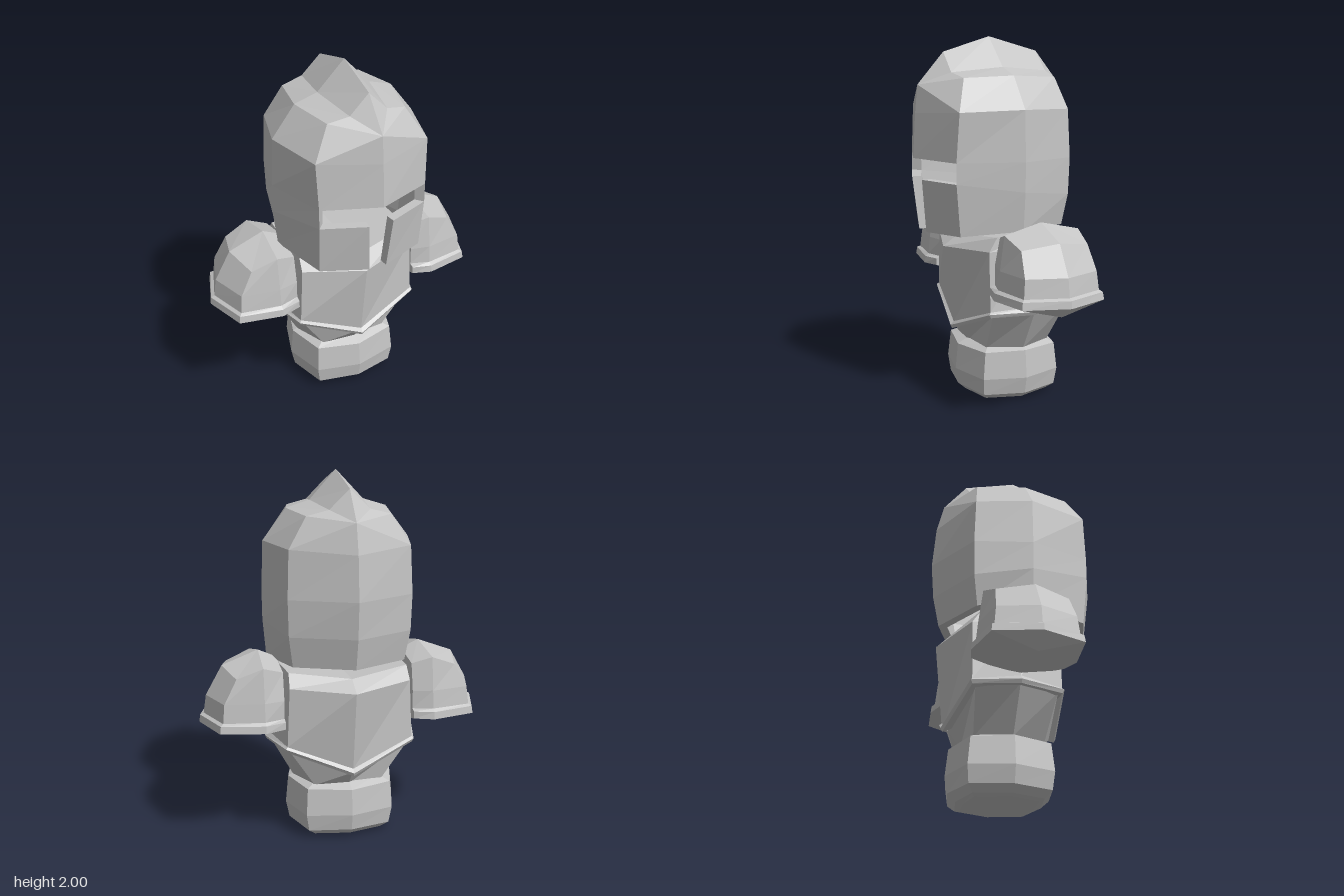
import * as THREE from 'three';

const metal = new THREE.MeshStandardMaterial({ color: 0xc4c4c4 });
metal.name = 'plainMetal';
metal.flatShading = true;

const Z0 = -0.07; // depth of the body axis

// Flat-shaded mesh from a list of polygons, each fanned into triangles
function meshOf(name, faces) {
  const pos = [];
  const [a, b, c] = [0, 1, 2].map(() => new THREE.Vector3());
  for (const f of faces) {
    for (let i = 1; i < f.length - 1; i++) {
      a.fromArray(f[0]); b.fromArray(f[i]); c.fromArray(f[i + 1]);
      if (b.clone().sub(a).cross(c.clone().sub(a)).length() < 1e-7) continue;
      pos.push(...f[0], ...f[i], ...f[i + 1]);
    }
  }
  const geo = new THREE.BufferGeometry();
  geo.setAttribute('position', new THREE.Float32BufferAttribute(pos, 3));
  geo.computeVertexNormals();
  const mesh = new THREE.Mesh(geo, metal);
  mesh.name = name;
  return mesh;
}

const mirrorFaces = faces => faces.map(f => f.map(([x, y, z]) => [-x || 0, y, z]).reverse());

// Quads between rings, listed bottom to top, running front -> +x -> back
function loft(rings, closed = true) {
  const faces = [];
  for (let r = 0; r < rings.length - 1; r++) {
    const lo = rings[r], hi = rings[r + 1], n = lo.length;
    for (let i = 0; i < (closed ? n : n - 1); i++) {
      const j = (i + 1) % n;
      faces.push([lo[i], lo[j], hi[j], hi[i]]);
    }
  }
  return faces;
}

function cappedLoft(rings) {
  return [...loft(rings), [...rings[0]].reverse(), rings[rings.length - 1]];
}

// Eight-sided ring: front [y, dz], corner [x, y, dz], side [x, y]
function octagon([fy, fz], [cx, cy, cz], [sx, sy]) {
  return [
    [0, fy, Z0 + fz], [cx, cy, Z0 + cz], [sx, sy, Z0], [cx, cy, Z0 - cz],
    [0, fy, Z0 - fz], [-cx, cy, Z0 - cz], [-sx, sy, Z0], [-cx, cy, Z0 + cz],
  ];
}

// Gives a surface an inner skin and closes every open edge with a rim
function thicken(faces, inner) {
  const key = p => p.map(v => v.toFixed(3)).join();
  const edges = new Map();
  for (const f of faces) {
    f.forEach((a, i) => {
      const b = f[(i + 1) % f.length];
      if (key(a) !== key(b)) edges.set(key(a) + '|' + key(b), [a, b]);
    });
  }
  const out = [...faces, ...faces.map(f => f.map(inner).reverse())];
  for (const [a, b] of edges.values()) {
    if (!edges.has(key(b) + '|' + key(a))) out.push([b, a, inner(a), inner(b)]);
  }
  return out;
}

function makeHelmet() {
  // Wall rows: front, front corner, side, back corner, back
  const bottom = [[0.05, 0.96, 0.41], [0.30, 0.97, 0.32], [0.40, 0.99, 0], [0.31, 0.99, -0.28], [0, 0.99, -0.42]];
  const cheek = [[0.07, 1.25, 0.44], [0.31, 1.25, 0.345], [0.418, 1.2, 0], [0.335, 1.16, -0.305], [0, 1.16, -0.455]];
  const visor = [[0, 1.36, 0.46], [0.31, 1.36, 0.345], [0.42, 1.36, 0], [0.34, 1.36, -0.31], [0, 1.36, -0.47]];
  const brow = [[0, 1.6, 0.445], [0.32, 1.62, 0.33], [0.41, 1.63, 0], [0.33, 1.62, -0.30], [0, 1.6, -0.45]];
  const frontTip = [0, 1.75, 0.43], backTip = [0, 1.76, -0.41];

  // Crown rows rising from the brow to the crest ridge
  const crown = [
    [frontTip, ...brow.slice(1, 4), backTip],
    [frontTip, [0.22, 1.79, 0.26], [0.28, 1.80, 0], [0.23, 1.785, -0.27], backTip],
    [frontTip, [0.105, 1.815, 0.28], [0.15, 1.84, 0], [0.11, 1.815, -0.28], backTip],
    [frontTip, [0, 1.92, 0.28], [0, 2.0, 0.01], [0, 1.92, -0.28], backTip],
  ];

  const half = [
    ...loft([bottom, cheek], false),
    ...loft([cheek, visor], false).slice(1), // eye slot left open
    ...loft([visor, brow], false),
    [brow[0], brow[1], frontTip],
    [brow[3], brow[4], backTip],
    ...loft(crown, false),
  ];
  const inner = ([x, y, z]) => [x * 0.88, y > 1.5 ? 1.5 + (y - 1.5) * 0.85 : y, z * 0.88];
  return meshOf('helmet', thicken([...half, ...mirrorFaces(half)], inner));
}

function makeChest() {
  return meshOf('breastplate', cappedLoft([
    octagon([0.38, 0.31], [0.355, 0.525, 0.24], [0.42, 0.53]),
    octagon([0.40, 0.32], [0.36, 0.545, 0.25], [0.43, 0.55]),
    octagon([0.42, 0.30], [0.35, 0.555, 0.24], [0.41, 0.575]),
    octagon([0.86, 0.36], [0.335, 0.88, 0.24], [0.36, 0.89]),
    octagon([0.92, 0.27], [0.33, 0.955, 0.19], [0.34, 0.955]),
  ]));
}

function makeWaist() {
  return meshOf('waist', cappedLoft([
    octagon([0.30, 0.21], [0.19, 0.30, 0.19], [0.27, 0.30]),
    octagon([0.39, 0.28], [0.34, 0.53, 0.22], [0.40, 0.535]),
  ]));
}

function makeBase() {
  return meshOf('base', cappedLoft([
    octagon([0, 0.19], [0.16, 0, 0.17], [0.22, 0]),
    octagon([0.01, 0.23], [0.19, 0.01, 0.19], [0.25, 0.01]),
    octagon([0.05, 0.275], [0.23, 0.045, 0.22], [0.295, 0.045]),
    octagon([0.14, 0.29], [0.245, 0.14, 0.23], [0.315, 0.14]),
    octagon([0.285, 0.275], [0.235, 0.29, 0.215], [0.30, 0.295]),
    octagon([0.32, 0.20], [0.18, 0.32, 0.17], [0.24, 0.32]),
  ]));
}

// Shoulder guard: each row lists inner, middle, corner and outer [x, y, dz]
function pauldronFaces() {
  const rows = [
    [[0.36, 0.59, 0], [0.47, 0.59, 0], [0.69, 0.59, 0], [0.69, 0.59, 0]],
    [[0.36, 0.66, 0.25], [0.47, 0.655, 0.28], [0.71, 0.66, 0.24], [0.79, 0.66, 0]],
    [[0.36, 0.70, 0.25], [0.47, 0.695, 0.275], [0.705, 0.70, 0.235], [0.785, 0.70, 0]],
    [[0.36, 0.71, 0.22], [0.47, 0.71, 0.255], [0.69, 0.71, 0.22], [0.765, 0.71, 0]],
    [[0.36, 0.81, 0.22], [0.47, 0.81, 0.245], [0.68, 0.81, 0.21], [0.75, 0.81, 0]],
    [[0.36, 0.96, 0.19], [0.47, 0.995, 0.22], [0.61, 0.94, 0.195], [0.66, 0.97, 0]],
    [[0.36, 1.0, 0], [0.46, 1.045, 0], [0.66, 0.97, 0], [0.66, 0.97, 0]],
  ];
  return loft(rows.map(row => [
    ...row.map(([x, y, d]) => [x, y, Z0 + d]),
    ...row.slice(0, 3).reverse().map(([x, y, d]) => [x, y, Z0 - d]),
  ]));
}

export function createModel() {
  const model = new THREE.Group();
  model.name = 'armouredFigure';
  const guard = pauldronFaces();
  model.add(
    makeHelmet(), makeChest(), makeWaist(), makeBase(),
    meshOf('leftPauldron', guard),
    meshOf('rightPauldron', mirrorFaces(guard)),
  );
  return model;
}
